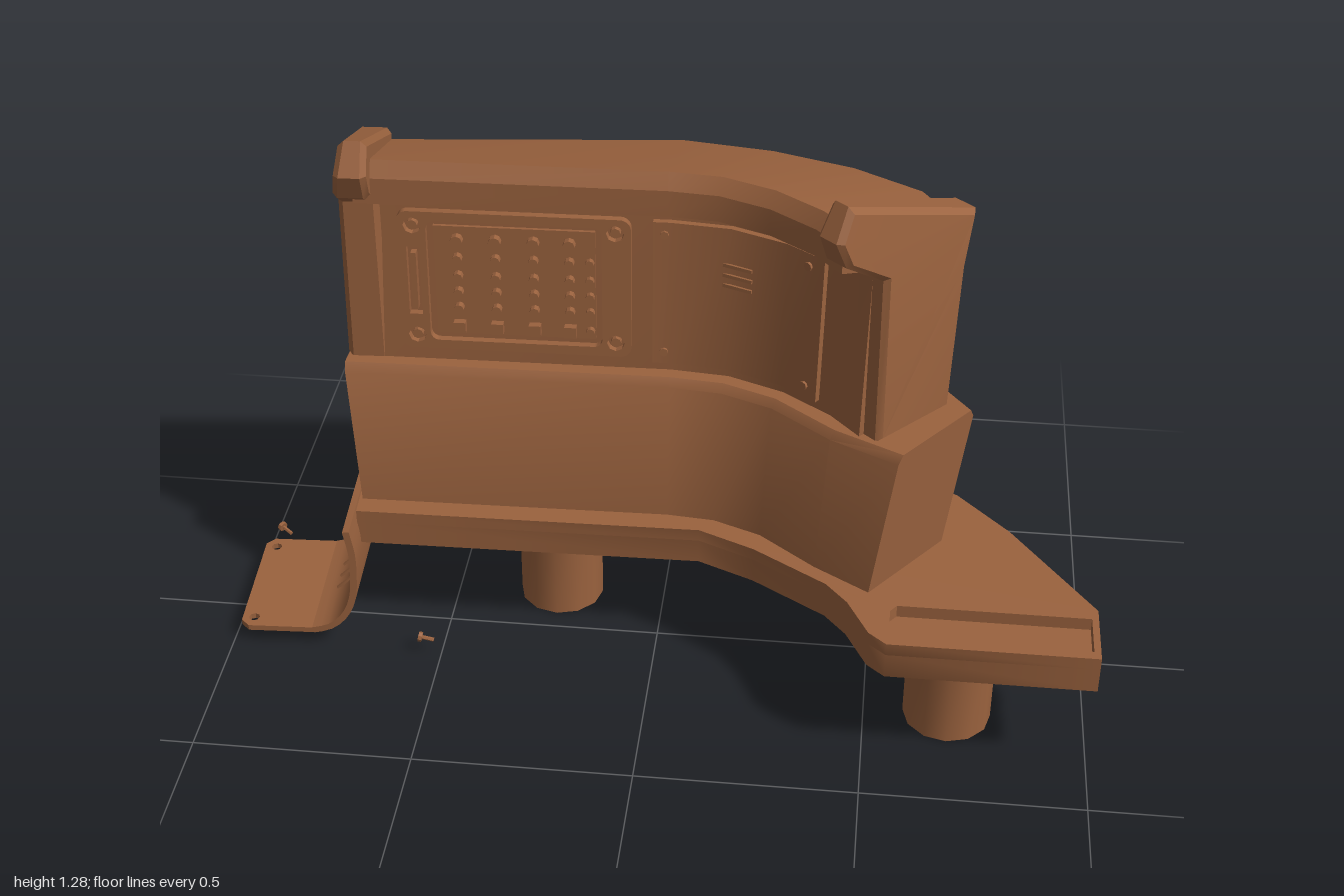
import * as THREE from 'three';
import { toCreasedNormals } from 'three/addons/utils/BufferGeometryUtils.js';

const mat = new THREE.MeshStandardMaterial({ color: 0x9a623e, side: THREE.DoubleSide });

function mesh(geo, name, parent, crease = 0.5) {
  const m = new THREE.Mesh(toCreasedNormals(geo, crease), mat);
  m.name = name;
  parent.add(m);
  return m;
}
function group(name, parent) {
  const g = new THREE.Group();
  g.name = name;
  parent.add(g);
  return g;
}

// Plan stations along the curved console: [frontX, frontZ, backX, backZ]
const lowerLine = [
  [-0.695, -0.005, -0.685, -0.28], [0.02, -0.02, 0.02, -0.35], [0.13, -0.01, 0.22, -0.32],
  [0.24, 0.035, 0.4, -0.26], [0.37, 0.14, 0.58, -0.13], [0.495, 0.22, 0.655, 0.01],
];
const upperLine = [
  [-0.66, -0.005, -0.66, -0.28], ...lowerLine.slice(1, 4),
  [0.34, 0.11, 0.55, -0.17], [0.4, 0.18, 0.62, -0.06],
];

// Plan point of a station: side 0 = front edge, 1 = back edge, pushed forward by off
function planPoint([fx, fz, bx, bz], side, off) {
  const d = Math.hypot(fx - bx, fz - bz), k = (side ? 0 : d) + off;
  return { x: bx + (fx - bx) / d * k, z: bz + (fz - bz) / d * k, d: k };
}

// Sweep a section of [side, off, y] points along stations, with capped, flared ends
function sweep(section, line, flare = 0) {
  const n = section.length, last = line.length - 1, pos = [], idx = [];
  line.forEach((st, i) => section.forEach(([s, o, y]) => {
    const p = planPoint(st, s, o), out = i === 0 ? -1 : i === last ? 1 : 0;
    pos.push(p.x + out * flare * (y - 0.34), y, p.z);
  }));
  for (let i = 0; i < last; i++) for (let j = 0; j < n; j++) {
    const a = i * n + j, b = i * n + (j + 1) % n;
    idx.push(a, b, a + n, b, b + n, a + n);
  }
  for (const end of [0, last]) {
    const flat = section.map(([s, o, y]) => new THREE.Vector2(-planPoint(line[end], s, o).d, y));
    for (const [a, b, c] of THREE.ShapeUtils.triangulateShape(flat, [])) {
      const k = end * n;
      if (end) idx.push(k + a, k + b, k + c); else idx.push(k + a, k + c, k + b);
    }
  }
  const g = new THREE.BufferGeometry();
  g.setAttribute('position', new THREE.Float32BufferAttribute(pos, 3));
  g.setIndex(idx);
  g.computeVertexNormals();
  return g;
}

// Point on the recessed front wall at a given x and y
const wallOff = y => -0.08 - (y - 0.69) * 0.0366;
function stationAt(x) {
  let i = 0;
  while (i < upperLine.length - 2 && upperLine[i + 1][0] < x) i++;
  const a = upperLine[i], b = upperLine[i + 1], t = (x - a[0]) / (b[0] - a[0]);
  return a.map((v, k) => v + (b[k] - v) * t);
}
function wallPoint(x, y) {
  let fx = x;
  for (let k = 0; k < 8; k++) fx += x - planPoint(stationAt(fx), 0, wallOff(y)).x;
  return planPoint(stationAt(fx), 0, wallOff(y));
}
function putOnWall(obj, x, y) {
  const p = wallPoint(x, y), q = wallPoint(x + 0.01, y);
  obj.position.set(p.x, y, p.z);
  obj.rotation.set(-0.036, Math.atan2(p.z - q.z, q.x - p.x), 0, 'YXZ');
}

const shapeOf = pts => new THREE.Shape(pts.map(p => new THREE.Vector2(...p)));
function roundRect(w, h, r, Type = THREE.Shape) {
  const s = new Type(), x = w / 2, y = h / 2;
  s.absarc(x - r, y - r, r, 0, Math.PI / 2);
  s.absarc(-x + r, y - r, r, Math.PI / 2, Math.PI);
  s.absarc(-x + r, -y + r, r, Math.PI, Math.PI * 1.5);
  s.absarc(x - r, -y + r, r, Math.PI * 1.5, Math.PI * 2);
  s.closePath();
  return s;
}
const hole = (x, y, r) => new THREE.Path().absarc(x, y, r, 0, Math.PI * 2);
const extrude = (s, depth, extra) =>
  new THREE.ExtrudeGeometry(s, { depth, bevelEnabled: false, curveSegments: 4, ...extra });
const disc = (r, h, n = 8) => new THREE.CylinderGeometry(r, r, h, n).rotateX(Math.PI / 2);

// Upright end cheek with a forward hook; its outer face swells outward below the top
function cheek(name, parent, { slide, rear, origin, dir, outer, swell }) {
  const s = shapeOf([
    [-0.095 + rear, 0.685], [0.16, 0.685], [0.16, 1.09], [0.262, 1.155], [0.285, 1.215],
    [0.244, 1.283], [-0.156 + rear, 1.155], [-0.115 + rear, 1.04],
  ]);
  const g = extrude(s, 0.036, { bevelEnabled: true, bevelSize: 0.012, bevelThickness: 0.012, bevelOffset: -0.012, bevelSegments: 1 });
  const p = g.attributes.position;
  for (let i = 0; i < p.count; i++) if ((p.getZ(i) - 0.018) * outer > 0)
    p.setZ(i, p.getZ(i) + outer * swell * Math.min(1, (1.283 - p.getY(i)) / 0.22));
  g.translate(slide, 0, 0.012);
  const x = new THREE.Vector3(dir[0], 0, dir[1]).normalize(), y = new THREE.Vector3(0, 1, 0);
  g.applyMatrix4(new THREE.Matrix4().makeBasis(x, y, x.clone().cross(y)).setPosition(origin[0], 0, origin[1]));
  mesh(g, name, parent);
}

export function createModel() {
  const model = new THREE.Group();

  // Base slab in two layers, the upper one cut by a shallow tray
  const outline = [
    [-0.7, -0.045], [0.1, -0.032], [0.23, -0.09], [0.4, -0.2], [0.45, -0.26], [0.5, -0.36], [0.54, -0.395],
    [1, -0.395], [1, -0.23], [0.81, 0.04], [0.69, 0.17], [0.41, 0.31], [0.02, 0.4], [-0.72, 0.31],
  ];
  const top = shapeOf(outline);
  top.holes.push(new THREE.Path([
    [0.545, -0.28], [0.56, -0.26], [0.985, -0.26], [0.985, -0.372], [0.56, -0.372], [0.545, -0.35],
  ].map(p => new THREE.Vector2(...p))));
  mesh(extrude(shapeOf(outline), 0.06).rotateX(-Math.PI / 2), 'baseSlab', model, 0.8).position.y = 0.25;
  mesh(extrude(top, 0.03).rotateX(-Math.PI / 2), 'baseTop', model, 0.8).position.y = 0.31;

  // Legs
  for (const [x, z] of [[-0.25, -0.15], [0.69, 0.21]])
    mesh(new THREE.CylinderGeometry(0.1, 0.1, 0.25, 12), 'leg', model, 0.7).position.set(x, 0.125, z);

  // Lower body leaning back, with a lip on top
  mesh(sweep([
    [0, 0, 0.34], [1, 0, 0.34], [1, -0.035, 0.67], [1, -0.022, 0.69], [0, -0.048, 0.69], [0, -0.035, 0.67],
  ], lowerLine, 0.08), 'lowerBody', model);

  // Upper body with recessed front wall, eave and sloping roof
  mesh(sweep([
    [0, wallOff(0.68), 0.68], [1, 0, 0.68], [1, -0.015, 1.135], [0, -0.025, 1.225], [0, -0.003, 1.19],
    [0, 0, 1.13], [0, wallOff(1.1), 1.1],
  ], upperLine), 'upperBody', model);

  // End cheeks
  cheek('leftCheek', model, { slide: 0, rear: 0.03, origin: [0.58, 0], dir: [-0.675, 0.737], outer: -1, swell: 0.035 });
  cheek('rightCheek', model, { slide: -0.245, rear: 0.085, origin: [-0.62, 0], dir: [0.05, 1], outer: 1, swell: 0.035 });

  // Keypad panel with recessed corner bolts
  const pad = group('keypad', model);
  putOnWall(pad, -0.328, 0.9);
  const frame = roundRect(0.52, 0.345, 0.025);
  frame.holes.push(roundRect(0.39, 0.3, 0.02, THREE.Path));
  for (const x of [-0.225, 0.225]) for (const y of [-0.138, 0.138]) {
    frame.holes.push(hole(x, y, 0.02));
    mesh(disc(0.012, 0.016), 'keypadBolt', pad).position.set(x, y, 0.008);
  }
  frame.holes.push(shapeOf([[-0.21, -0.085], [-0.21, 0.085], [-0.24, 0.085], [-0.24, -0.085]]));
  mesh(extrude(frame, 0.018), 'keypadFrame', pad);
  mesh(new THREE.BoxGeometry(0.012, 0.14, 0.02), 'cardSlotRib', pad).position.set(-0.225, 0, 0.01);
  mesh(new THREE.BoxGeometry(0.36, 0.27, 0.008), 'keypadPlate', pad).position.set(0, 0, 0.004);
  [0.105, 0.06, 0.015, -0.025, -0.065, -0.113].forEach((y, r) => {
    for (const x of [-0.127, -0.042, 0.043, 0.123])
      mesh(r === 5 ? new THREE.BoxGeometry(0.027, 0.027, 0.028) : disc(r ? 0.011 : 0.014, 0.028), 'key', pad)
        .position.set(x, y, 0.012);
    if (r) mesh(disc(0.01, 0.024), 'lamp', pad).position.set(0.168, y, 0.01);
  });

  // Access plate following the bend of the wall
  const plateLine = [-0.02, 0.02, 0.13, 0.24, 0.315].map(stationAt);
  const o0 = wallOff(0.715), o1 = wallOff(1.07);
  mesh(sweep([[0, o0 + 0.014, 0.715], [0, o0 - 0.01, 0.715], [0, o1 - 0.01, 1.07], [0, o1 + 0.014, 1.07]], plateLine),
    'accessPlate', model);
  for (const [x, y] of [[0.005, 1.04], [0.335, 1.04], [0.005, 0.745], [0.335, 0.745]])
    putOnWall(mesh(disc(0.01, 0.04), 'plateScrew', model), x, y);
  for (let i = 0; i < 3; i++)
    putOnWall(mesh(new THREE.BoxGeometry(0.07, 0.008, 0.04), 'vent', model), 0.175, 0.93 + i * 0.025);

  // Bent side bracket: flat drilled foot plus curved upright
  const bracket = group('sideBracket', model);
  bracket.position.set(-0.85, 0, -0.04);
  bracket.rotation.y = 0.05;
  const foot = shapeOf([[0.04, -0.17], [0.04, 0.17], [-0.12, 0.17], [-0.14, 0.15], [-0.14, -0.15], [-0.12, -0.17]]);
  foot.holes.push(hole(-0.112, 0.138, 0.013), hole(-0.112, -0.138, 0.013));
  mesh(extrude(foot, 0.014).rotateX(-Math.PI / 2), 'bracketFoot', bracket).position.y = 0.035;
  const bend = new THREE.CatmullRomCurve3([
    [0.035, 0.042], [0.075, 0.054], [0.112, 0.088], [0.135, 0.14], [0.142, 0.2], [0.143, 0.27], [0.133, 0.335],
  ].map(([x, y]) => new THREE.Vector3(x, y, 0)));
  const sides = [[], []];
  for (let i = 0; i <= 16; i++) {
    const p = bend.getPointAt(i / 16), t = bend.getTangentAt(i / 16);
    sides[0].push([p.x + t.y * 0.008, p.y - t.x * 0.008]);
    sides[1].unshift([p.x - t.y * 0.008, p.y + t.x * 0.008]);
  }
  mesh(extrude(shapeOf([...sides[0], ...sides[1]]), 0.34).translate(0, 0, -0.17), 'bracketBend', bracket);
  for (let i = 0; i < 3; i++) {
    const rib = mesh(new THREE.BoxGeometry(0.06, 0.012, 0.008), 'bracketRib', bracket);
    rib.position.set(0.095, 0.08, -0.06 + i * 0.045);
    rib.rotation.z = 0.75;
  }

  // Loose screws near the bracket
  for (const [x, z, yaw] of [[-0.97, -0.26, 0.6], [-0.8, -0.29, 1.6], [-0.54, 0.125, 0]]) {
    const screw = group('looseScrew', model);
    screw.position.set(x, 0.04, z);
    screw.rotation.set(0, -yaw, -0.2, 'YXZ');
    mesh(new THREE.CylinderGeometry(0.005, 0.005, 0.03, 6).rotateZ(Math.PI / 2), 'shank', screw).position.x = 0.008;
    mesh(new THREE.CylinderGeometry(0.012, 0.012, 0.009, 8).rotateZ(Math.PI / 2), 'head', screw).position.x = -0.01;
  }
  return model;
}
